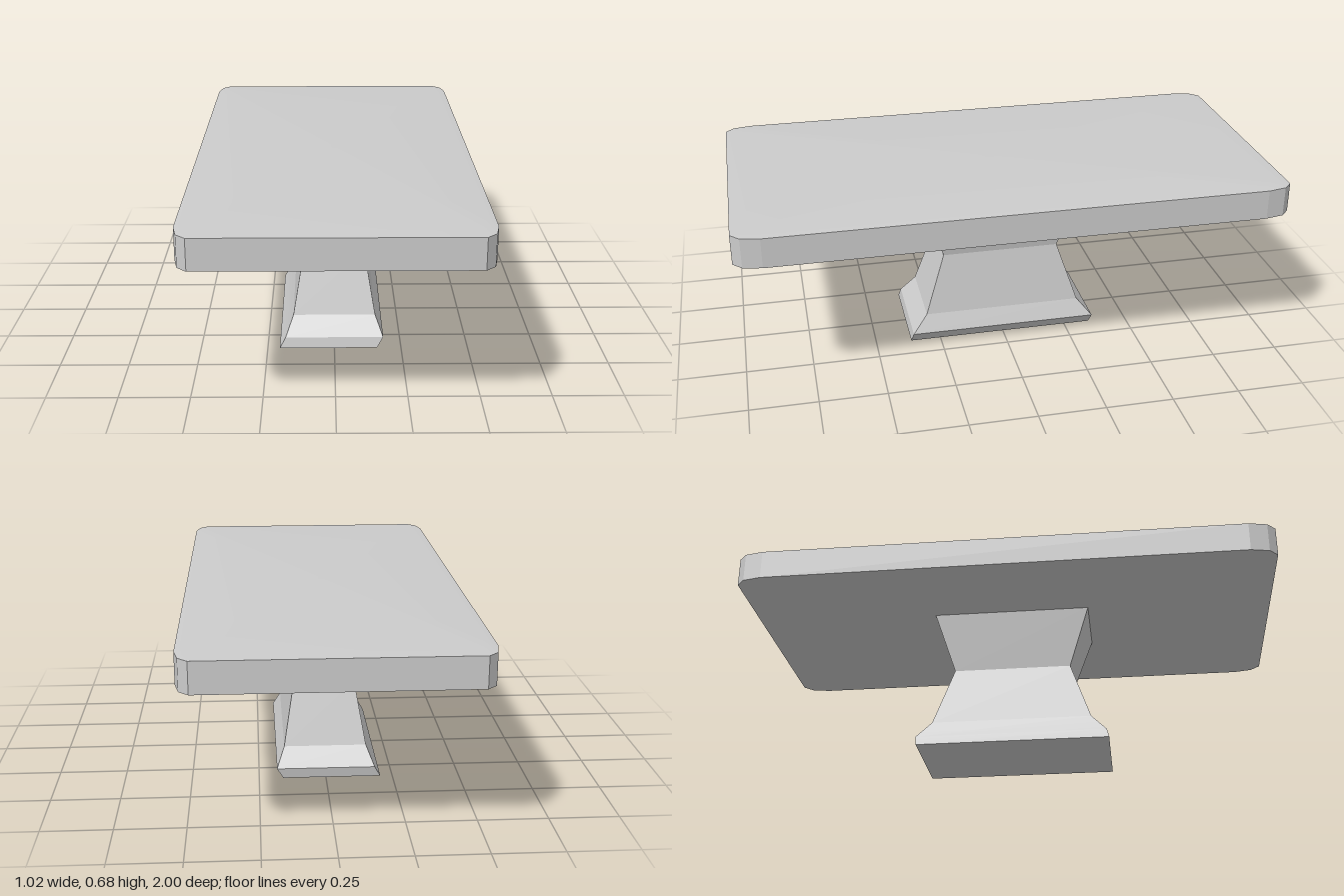
import * as THREE from 'three';
import { toCreasedNormals } from 'three/addons/utils/BufferGeometryUtils.js';

// Skin a stack of closed rings (bottom to top, each running +x to +z) and cap both ends.
function loft(rings) {
  const pos = [];
  const tri = (...corners) => corners.forEach((p) => pos.push(...p));
  const n = rings[0].length;
  const centre = (ring) => [0, 1, 2].map((k) => ring.reduce((s, p) => s + p[k], 0) / n);
  const bottom = rings[0], top = rings[rings.length - 1];
  const cb = centre(bottom), ct = centre(top);
  for (let i = 0; i < n; i++) {
    const j = (i + 1) % n;
    for (let r = 0; r < rings.length - 1; r++) {
      const a = rings[r], b = rings[r + 1];
      tri(a[i], b[i], a[j]);
      tri(a[j], b[i], b[j]);
    }
    tri(cb, bottom[i], bottom[j]);
    tri(ct, top[j], top[i]);
  }
  const geometry = new THREE.BufferGeometry();
  geometry.setAttribute('position', new THREE.Float32BufferAttribute(pos, 3));
  return toCreasedNormals(geometry, 0.2);
}

// Rectangular ring at height y
const rect = (y, x0, x1, z0, z1) => [[x1, y, z0], [x1, y, z1], [x0, y, z1], [x0, y, z0]];

// Rounded table outline, mirrored from one corner
function outline(y, scale = 1) {
  const corner = [[0.512, 0.9], [0.498, 0.968], [0.465, 1]];
  const back = [...corner].reverse();
  return [
    ...corner,
    ...back.map(([x, z]) => [-x, z]),
    ...corner.map(([x, z]) => [-x, -z]),
    ...back.map(([x, z]) => [x, -z]),
  ].map(([x, z]) => [x * scale, y, z * scale]);
}

export function createModel() {
  const group = new THREE.Group();
  group.name = 'table';
  const material = new THREE.MeshStandardMaterial({ color: 0xcccccc });
  const add = (name, rings) => {
    const mesh = new THREE.Mesh(loft(rings), material);
    mesh.name = name;
    group.add(mesh);
  };

  // Slab with slightly crowned upper and lower faces
  add('tableTop', [
    outline(0.565, 0.94),
    outline(0.57),
    outline(0.68),
    outline(0.684, 0.94),
  ]);

  // Waisted pedestal with a flared, slightly skewed foot
  add('pedestal', [
    rect(0, -0.205, 0.16, -0.35, 0.365),
    rect(0.04, -0.183, 0.183, -0.357, 0.357),
    rect(0.107, -0.154, 0.154, -0.3, 0.3),
    rect(0.337, -0.114, 0.114, -0.223, 0.223),
    rect(0.568, -0.154, 0.154, -0.3, 0.3),
  ]);

  return group;
}
